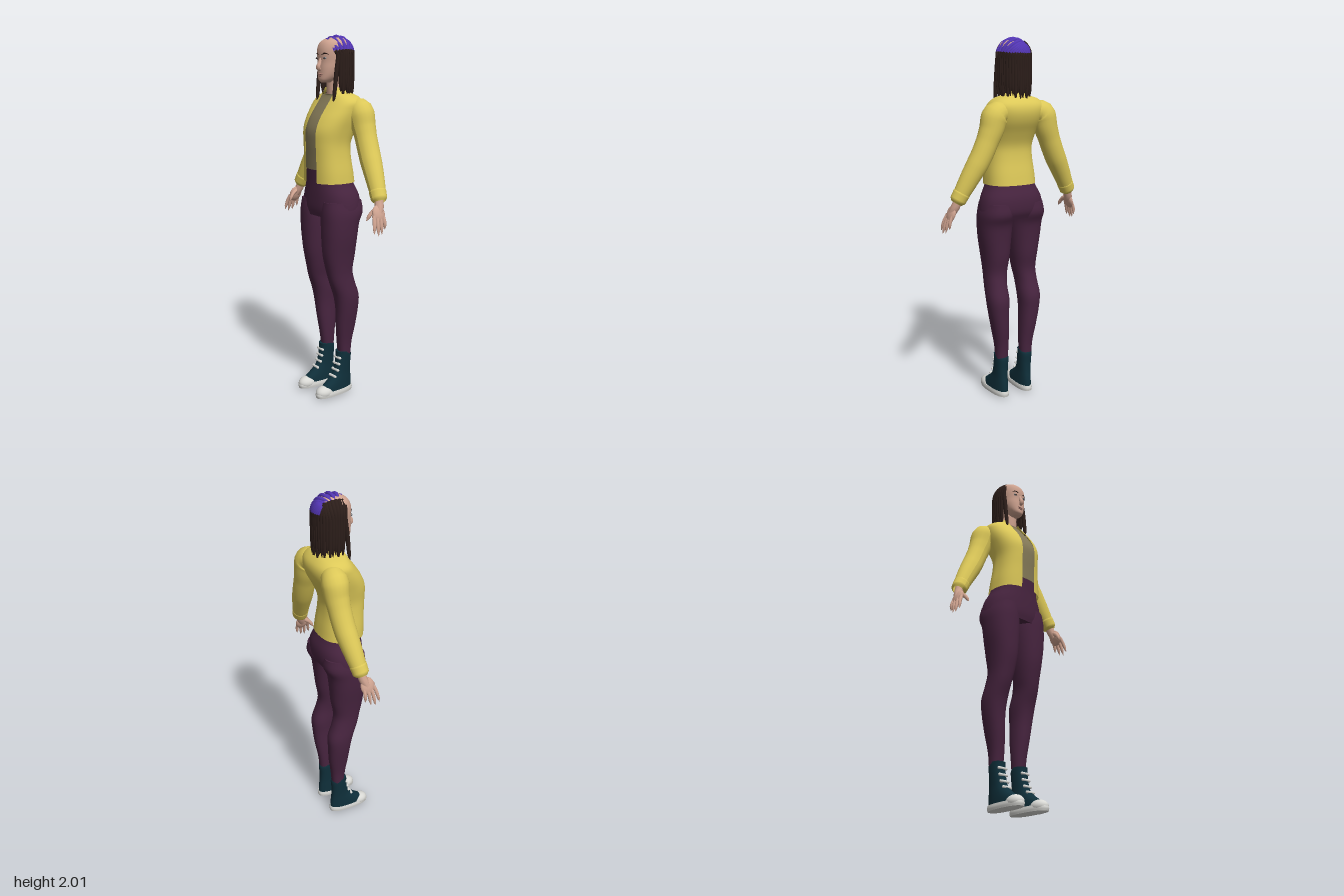
import * as THREE from 'three';

const mat = (name, color, side = THREE.FrontSide) => {
  const m = new THREE.MeshStandardMaterial({ color, side });
  m.name = name;
  return m;
};
const V = (x, y, z) => new THREE.Vector3(x, y, z);

// Smooth body form from rings [y, halfWidth, zFront, zBack, centreX], listed upwards.
// gap leaves an opening of that half width down the front.
function loft(rings, { p = 2.3, n = 32, sub = 4, gap = 0 } = {}) {
  const a = new THREE.CatmullRomCurve3(rings.map(r => V(r[0], r[1], r[2])), false, 'catmullrom', 0.5);
  const b = new THREE.CatmullRomCurve3(rings.map(r => V(r[3], r[4] || 0, 0)), false, 'catmullrom', 0.5);
  const steps = (rings.length - 1) * sub, rows = [];
  for (let i = 0; i <= steps; i++) rows.push([i / steps, 1]);
  if (!gap) {
    rows.unshift([0, 0], [0, 1]);
    rows.push([1, 1], [1, 0]);
  }
  const pos = [], idx = [], cols = gap ? n + 1 : n;
  for (const [t, s] of rows) {
    const { x: y, y: hw, z: zf } = a.getPoint(t), { x: zb, y: cx } = b.getPoint(t);
    const a0 = gap ? Math.asin(Math.min(0.95, (gap / hw) ** (p / 2))) : 0;
    for (let j = 0; j < cols; j++) {
      const ang = a0 + (Math.PI * 2 - 2 * a0) * j / n;
      const f = v => Math.sign(v) * Math.abs(v) ** (2 / p);
      pos.push(cx + s * hw * f(Math.sin(ang)), y, (zf + zb) / 2 + s * (zf - zb) / 2 * f(Math.cos(ang)));
    }
  }
  for (let i = 0; i < rows.length - 1; i++) for (let j = 0; j < n; j++) {
    const k = (j + 1) % cols, A = i * cols + j, B = i * cols + k;
    idx.push(A, B, B + cols, A, B + cols, A + cols);
  }
  const g = new THREE.BufferGeometry();
  g.setAttribute('position', new THREE.Float32BufferAttribute(pos, 3));
  g.setIndex(idx);
  g.computeVertexNormals();
  return g;
}

// Tube whose radius follows a list along its length.
function sweep(points, radii, seg = 16, sides = 10) {
  const curve = new THREE.CatmullRomCurve3(points);
  const g = new THREE.TubeGeometry(curve, seg, 1, sides, false), q = g.attributes.position, v = V(0, 0, 0);
  for (let i = 0; i <= seg; i++) {
    const c = curve.getPointAt(i / seg), f = i / seg * (radii.length - 1), k = Math.min(Math.floor(f), radii.length - 2);
    const r = THREE.MathUtils.lerp(radii[k], radii[k + 1], f - k);
    for (let j = 0; j <= sides; j++) {
      const o = i * (sides + 1) + j;
      v.fromBufferAttribute(q, o).sub(c).multiplyScalar(r).add(c);
      q.setXYZ(o, v.x, v.y, v.z);
    }
  }
  g.computeVertexNormals();
  return g;
}

export function createModel() {
  const model = new THREE.Group();
  const skin = mat('skin', 0xcfa390), yellow = mat('jacket yellow', 0xdcc858, THREE.DoubleSide);
  const olive = mat('shirt olive', 0x857a58), plum = mat('trouser plum', 0x47243f);
  const teal = mat('shoe teal', 0x0f2f3a), white = mat('rubber white', 0xd8d8d4);
  const brown = mat('hair brown', 0x2c1e1a, THREE.DoubleSide), purple = mat('hair purple', 0x5336b4);
  const grey = mat('eye grey', 0x8d9094), rose = mat('lip rose', 0xb07f74);
  const add = (name, geo, m, parent = model) => {
    const mesh = new THREE.Mesh(geo, m);
    mesh.name = name;
    parent.add(mesh);
    return mesh;
  };
  const blob = (name, m, x, y, z, sx, sy, sz) => {
    const b = add(name, new THREE.SphereGeometry(1, 20, 14), m);
    b.position.set(x, y, z);
    b.scale.set(sx, sy, sz);
    return b;
  };

  // Torso: shirt inside an open jacket
  const torso = [[1.22, .143, .134, -.108], [1.28, .139, .136, -.1], [1.36, .13, .138, -.088], [1.43, .128, .141, -.088],
    [1.5, .14, .139, -.115], [1.56, .153, .115, -.145], [1.61, .16, .082, -.158], [1.65, .158, .052, -.152],
    [1.68, .125, .032, -.128], [1.7, .072, .026, -.1], [1.725, .054, .026, -.09]];
  add('jacket', loft(torso, { p: 2.5, n: 48, gap: .047 }), yellow);
  const shirt = torso.slice(1, 10).map(([y, w, f, b]) => [y, w * .94, f - .013, b + .015]);
  shirt[0][0] = 1.29;
  shirt[8] = [1.69, .055, .018, -.08];
  add('shirt', loft(shirt, { p: 2.5 }), olive);

  // Trousers
  add('hips', loft([[1.035, .182, .108, -.104], [1.08, .185, .117, -.124], [1.15, .172, .119, -.124],
    [1.22, .138, .119, -.1], [1.3, .128, .121, -.08]], { p: 2.4, n: 40 }), plum);

  for (const s of [1, -1]) {
    const side = s > 0 ? 'left' : 'right';
    add(side + 'Leg', loft([[.21, .034, 0, -.068, .08], [.3, .038, .01, -.076, .081], [.4, .046, .022, -.092, .09],
      [.5, .054, .03, -.1, .1], [.58, .06, .045, -.102, .102], [.66, .058, .073, -.076, .1], [.73, .063, .09, -.062, .094],
      [.82, .074, .108, -.076, .092], [.92, .086, .115, -.085, .095], [1, .0915, .117, -.096, .096],
      [1.06, .092, .117, -.122, .096], [1.12, .083, .112, -.118, .092]].map(r => [...r.slice(0, 4), r[4] * s])), plum);

    // High-top shoe, built pointing ahead then turned slightly outwards
    const shoe = new THREE.Group();
    shoe.name = side + 'Shoe';
    shoe.position.x = .08 * s;
    shoe.rotation.y = .04 * s;
    model.add(shoe);
    add('sole', loft([[0, .042, .162, -.083], [.015, .044, .166, -.086], [.03, .042, .162, -.083]], { p: 2.5 }), white, shoe);
    add('upper', loft([[.028, .039, .14, -.08], [.055, .038, .122, -.079], [.085, .036, .08, -.076], [.12, .034, .043, -.072],
      [.17, .035, .026, -.071], [.225, .037, .018, -.074], [.246, .036, .018, -.06]]), teal, shoe);
    const cap = add('toeCap', new THREE.SphereGeometry(1, 24, 16), white, shoe);
    cap.position.set(0, .026, .108);
    cap.scale.set(.041, .036, .056);
    for (const [y, z] of [[.21, .015], [.175, .021], [.14, .03], [.107, .05]]) {
      const lace = add('lace', new THREE.CapsuleGeometry(.008, .046, 4, 10), white, shoe);
      lace.rotation.z = Math.PI / 2;
      lace.position.set(0, y, z);
    }

    // Sleeve and cuff
    const P = (x, y, z) => V(x * s, y, z);
    add(side + 'Sleeve', sweep([P(.085, 1.615, -.085), P(.142, 1.602, -.087), P(.172, 1.52, -.088), P(.23, 1.385, -.08),
      P(.298, 1.262, -.063), P(.35, 1.165, -.048)], [.05, .072, .066, .06, .059, .058, .053, .047, .04], 36, 20), yellow);
    add(side + 'Cuff', sweep([P(.325, 1.213, -.055), P(.342, 1.181, -.05), P(.36, 1.148, -.045)],
      [.034, .046, .045, .044, .043, .03], 10, 20), yellow);

    // Hand
    const hand = new THREE.Group();
    hand.name = side + 'Hand';
    model.add(hand);
    add('wrist', sweep([P(.345, 1.175, -.048), P(.362, 1.13, -.04), P(.378, 1.09, -.025)], [.026, .024, .024, .02], 8), skin, hand);
    const palm = add('palm', new THREE.SphereGeometry(1, 16, 12), skin, hand);
    palm.position.set(.379 * s, 1.09, -.022);
    palm.scale.set(.017, .047, .04);
    palm.rotation.z = .33 * s;
    const tips = [[.412, .995, .033, .012], [.416, .982, .007, -.008], [.412, .988, -.018, -.028], [.402, 1.01, -.046, -.046]];
    for (const [x, y, z, root] of tips)
      add('finger', sweep([P(.383, 1.085, root), P(.4, 1.045, (root + z) / 2), P(x, y, z)], [.01, .01, .0095, .0085, .001], 10, 8), skin, hand);
    add('thumb', sweep([P(.368, 1.115, -.02), P(.358, 1.09, .014), P(.351, 1.055, .037)], [.014, .014, .011, .01, .001], 10, 8), skin, hand);

    // Eye and brow
    blob(side + 'Eye', grey, .032 * s, 1.878, .0655, .0145, .006, .005);
    blob(side + 'Iris', brown, .032 * s, 1.878, .0695, .005, .005, .0025);
    add(side + 'Brow', sweep([P(.014, 1.896, .071), P(.033, 1.903, .066), P(.053, 1.897, .053)], [.002, .004, .003, .001], 8, 6), brown);
  }

  // Neck and head
  add('neck', sweep([V(0, 1.64, -.045), V(0, 1.7, -.033), V(0, 1.8, -.025)], [.058, .05, .046, .045], 10, 20), skin);
  add('head', loft([[1.752, .02, .062, .01], [1.765, .036, .072, -.015], [1.79, .053, .073, -.045], [1.825, .066, .073, -.08],
    [1.86, .072, .071, -.1], [1.9, .077, .073, -.112], [1.935, .077, .068, -.112], [1.963, .067, .052, -.1],
    [1.983, .042, .018, -.07]]), skin);
  add('nose', sweep([V(0, 1.89, .062), V(0, 1.85, .076), V(0, 1.829, .084), V(0, 1.814, .066)], [.006, .009, .011, .013, .006], 12), skin);
  blob('upperLip', rose, 0, 1.796, .071, .02, .0045, .007);
  blob('lowerLip', rose, 0, 1.788, .07, .017, .005, .007);

  // Scalp and the layer of hair behind the braids
  const rad = Math.PI / 180, centre = V(0, 1.9, -.033), R = V(.083, .088, .091);
  const scalp = (name, m, ...args) => {
    const g = add(name, new THREE.SphereGeometry(1, 40, 16, ...args), m);
    g.position.copy(centre);
    g.scale.copy(R);
  };
  scalp('crownHair', purple, 0, Math.PI * 2, 0, 46 * rad);
  scalp('sideHair', brown, 155 * rad, 230 * rad, 40 * rad, 50 * rad);
  const under = add('underHair', new THREE.CylinderGeometry(1, 1, .17, 32, 1, true, 75 * rad, 210 * rad), brown);
  under.position.set(0, 1.815, -.033);
  under.scale.set(R.x - .003, 1, R.z - .003);

  // Braids run from an off-centre parting over the skull, then hang
  const braids = 27;
  for (let i = 0; i < braids; i++) {
    const deg = 62 + 236 * i / (braids - 1), a = deg * rad, edge = i === 0 || i === braids - 1;
    const end = V(Math.sin(a), 0, Math.cos(a));
    const start = V(-.55, .78, THREE.MathUtils.clamp(Math.cos(a) * 1.2, -.6, .5)).normalize();
    const over = t => start.clone().lerp(end, t).normalize().multiply(R).add(centre);
    const split = deg < 208 ? .8 : 0;
    const upper = [], lower = [];
    for (let k = 0; k <= 10; k++) {
      if (k / 10 <= split) upper.push(over(k / 10));
      if (k / 10 >= split) lower.push(over(k / 10));
    }
    const tip = edge ? 1.635 : 1.69 + .022 * Math.sin(i * 2.4);
    const foot = over(1);
    lower.push(V(foot.x * 1.03, 1.8, foot.z + (edge ? .012 : 0)));
    lower.push(V(foot.x, tip, foot.z + (edge ? .03 : 0)));
    if (split) add('braidRoot', sweep(upper, [.006, .012, .0125, .0125], 16, 8), purple);
    add('braid', sweep(lower, [.0125, .0125, .012, .012, .0115, .01, .002], 20, 8), brown);
  }
  blob('braidBead', olive, .075, 1.632, .036, .015, .015, .015);
  return model;
}
